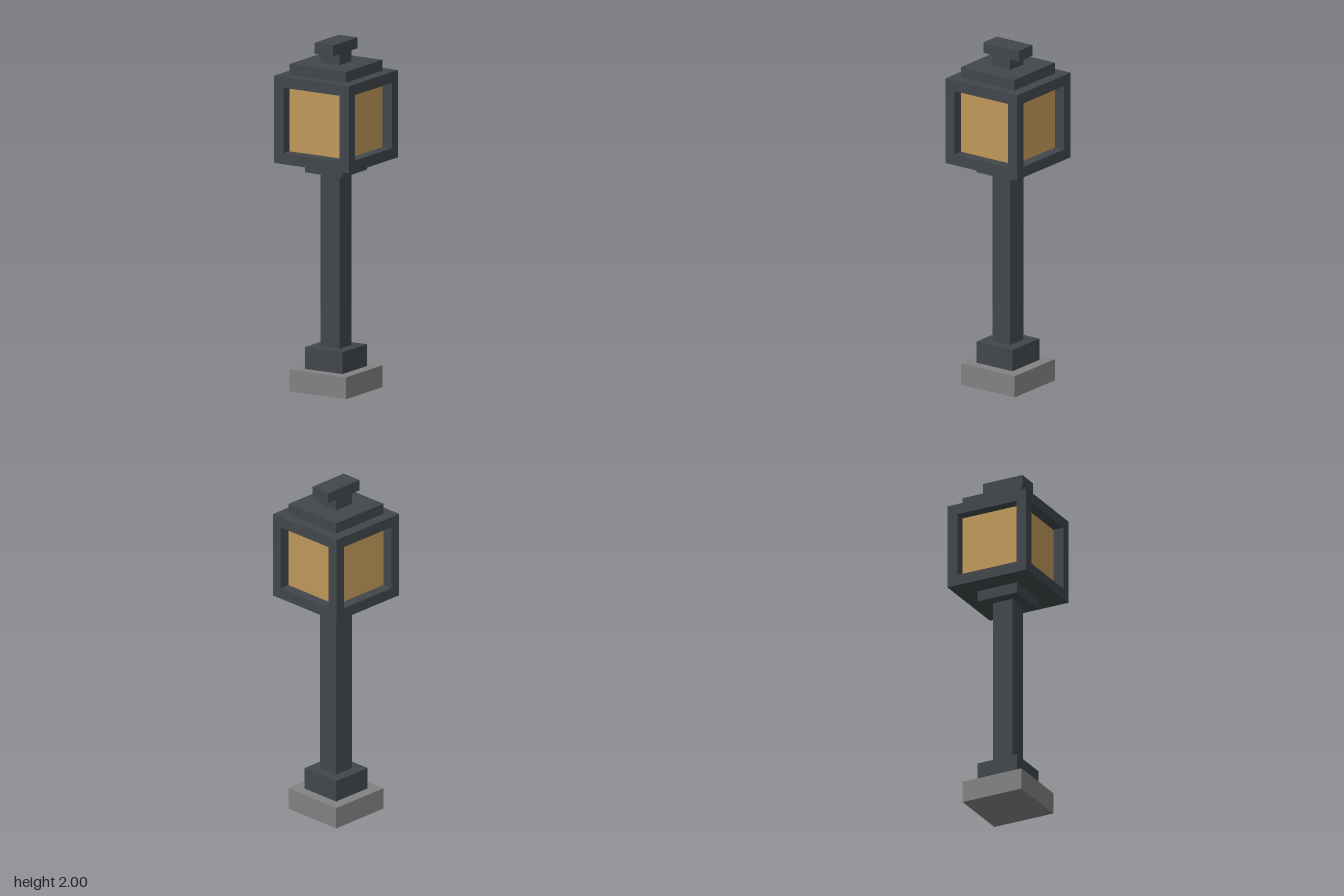
import * as THREE from 'three';

const U = 1 / 16; // everything sits on a sixteenth grid

export function createModel() {
  const iron = new THREE.MeshStandardMaterial({ color: 0x42474b });
  iron.name = 'dark iron';
  const stone = new THREE.MeshStandardMaterial({ color: 0x828282 });
  stone.name = 'grey stone';
  const amber = new THREE.MeshStandardMaterial({ color: 0xc0985a });
  amber.name = 'amber glass';

  const lamp = new THREE.Group();
  lamp.name = 'streetLamp';

  // Box given by its size and bottom height, in grid units
  function block(parent, name, material, w, h, d, bottom, x = 0, z = 0) {
    const mesh = new THREE.Mesh(new THREE.BoxGeometry(w * U, h * U, d * U), material);
    mesh.position.set(x * U, (bottom + h / 2) * U, z * U);
    mesh.name = name;
    parent.add(mesh);
  }

  // Foot and post
  block(lamp, 'footing', stone, 6, 2, 6, 0);
  block(lamp, 'plinth', iron, 4, 2, 4, 2);
  block(lamp, 'post', iron, 2, 16, 2, 4);
  block(lamp, 'collar', iron, 4, 1, 4, 20);

  // Lantern: two plates, four corner bars and the recessed glass
  const lantern = new THREE.Group();
  lantern.name = 'lantern';
  lamp.add(lantern);
  block(lantern, 'lanternFloor', iron, 8, 1, 8, 21);
  block(lantern, 'lanternCeiling', iron, 8, 1, 8, 28);
  for (const x of [-3.5, 3.5]) {
    for (const z of [-3.5, 3.5]) block(lantern, 'cornerBar', iron, 1, 6, 1, 22, x, z);
  }
  block(lantern, 'glass', amber, 6, 6, 6, 22);

  // Roof and finial
  block(lamp, 'roof', iron, 6, 1, 6, 29);
  block(lamp, 'finialStem', iron, 2, 1, 2, 30);
  block(lamp, 'finialBar', iron, 2, 1, 4, 31);

  return lamp;
}
